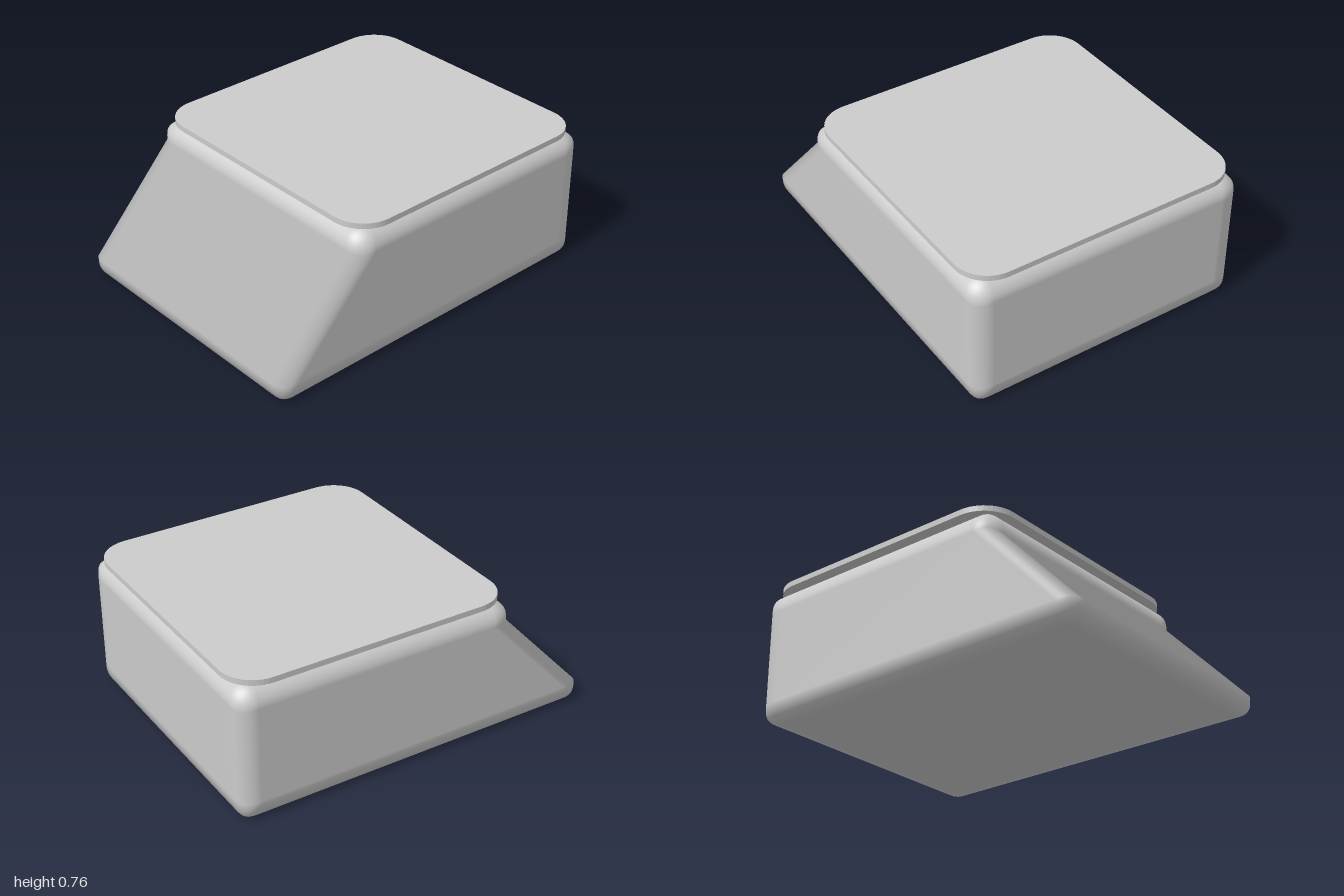
import * as THREE from 'three';
import { RoundedBoxGeometry } from 'three/addons/geometries/RoundedBoxGeometry.js';

const WIDTH = 1.52, HEIGHT = 0.715, DEPTH = 2;
const SETBACK = 0.48; // how far the top front edge lies behind the bottom front edge

// Soft-edged block whose front leans back between its lower and upper edge bands
function wedgeGeometry() {
  const r = 0.1, p = 3.5;
  const geo = new RoundedBoxGeometry(WIDTH, HEIGHT, DEPTH, 6, r);
  const pos = geo.attributes.position, nor = geo.attributes.normal;
  const v = new THREE.Vector3(), n = new THREE.Vector3();
  for (let i = 0; i < pos.count; i++) {
    v.fromBufferAttribute(pos, i);
    n.fromBufferAttribute(nor, i);
    // tighten the circular edge into a squarer one
    const len = Math.pow(Math.abs(n.x) ** p + Math.abs(n.y) ** p + Math.abs(n.z) ** p, 1 / p);
    v.addScaledVector(n, r / len - r);
    v.y += HEIGHT / 2;
    // slope the front
    const t = THREE.MathUtils.clamp((v.y - r) / (HEIGHT - 2 * r), 0, 1);
    if (v.z > 0) v.z -= SETBACK * t;
    pos.setXYZ(i, v.x, v.y, v.z);
  }
  return geo;
}

// Thin plate with rounded corners, lying flat
function plateGeometry(w, d, r, thickness) {
  const x = w / 2, y = d / 2, s = new THREE.Shape();
  s.absarc(x - r, y - r, r, 0, Math.PI / 2);
  s.absarc(r - x, y - r, r, Math.PI / 2, Math.PI);
  s.absarc(r - x, r - y, r, Math.PI, Math.PI * 1.5);
  s.absarc(x - r, r - y, r, Math.PI * 1.5, Math.PI * 2);
  const geo = new THREE.ExtrudeGeometry(s, { depth: thickness, bevelEnabled: false, curveSegments: 6 });
  return geo.rotateX(-Math.PI / 2);
}

export function createModel() {
  const group = new THREE.Group();
  const grey = new THREE.MeshStandardMaterial({ color: 0xcccccc });

  const body = new THREE.Mesh(wedgeGeometry(), grey);
  body.name = 'body';

  // Plate hovering just above the flat top
  const topPlate = new THREE.Mesh(plateGeometry(WIDTH, DEPTH - SETBACK, 0.18, 0.03), grey);
  topPlate.name = 'topPlate';
  topPlate.position.set(0, 0.733, -SETBACK / 2);

  group.add(body, topPlate);
  return group;
}
